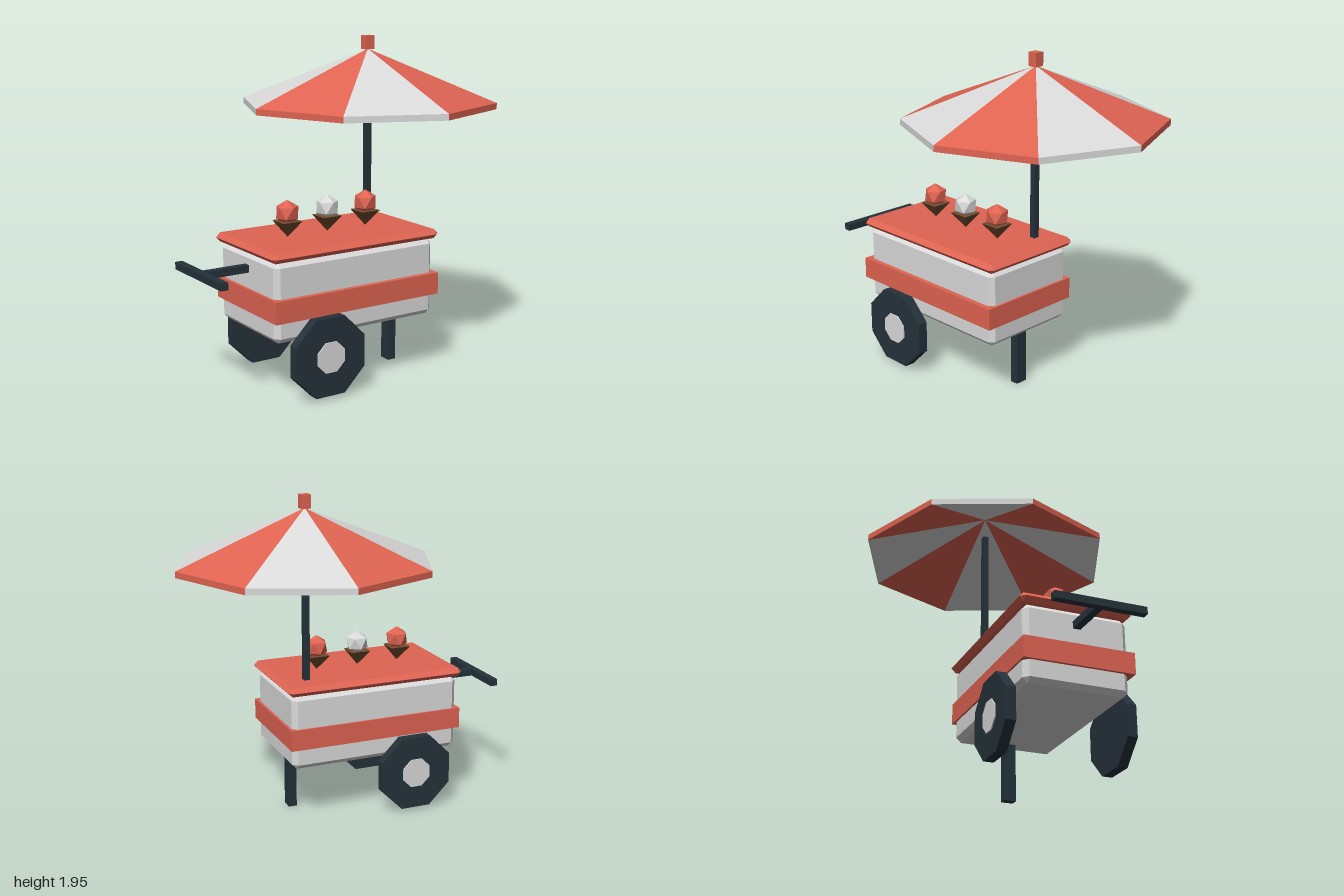
import * as THREE from 'three';
import { ConvexGeometry } from 'three/addons/geometries/ConvexGeometry.js';

const material = (name, color) => {
  const m = new THREE.MeshStandardMaterial({ color, flatShading: true });
  m.name = name;
  return m;
};

export function createModel() {
  const red = material('coral red', 0xe06452);
  const white = material('off white', 0xdadada);
  const dark = material('dark slate', 0x25323b);
  const brown = material('cone brown', 0x734d31);

  const cart = new THREE.Group();
  cart.name = 'snackCart';

  const add = (name, geometry, mat, x = 0, y = 0, z = 0, parent = cart) => {
    const mesh = new THREE.Mesh(geometry, mat);
    mesh.name = name;
    mesh.position.set(x, y, z);
    parent.add(mesh);
    return mesh;
  };

  // Box given by its limits along each axis
  const box = (name, mat, [x0, x1], [y0, y1], [z0, z1], parent) =>
    add(name, new THREE.BoxGeometry(x1 - x0, y1 - y0, z1 - z0), mat,
      (x0 + x1) / 2, (y0 + y1) / 2, (z0 + z1) / 2, parent);

  // Box with every edge chamfered by c
  const chamferBox = (w, h, d, c) => {
    const points = [];
    for (const sx of [-1, 1]) for (const sy of [-1, 1]) for (const sz of [-1, 1]) {
      for (let axis = 0; axis < 3; axis++) {
        const inset = [c, c, c];
        inset[axis] = 0;
        points.push(new THREE.Vector3(
          sx * (w / 2 - inset[0]), sy * (h / 2 - inset[1]), sz * (d / 2 - inset[2])));
      }
    }
    return new ConvexGeometry(points);
  };

  // Octagonal disc facing z, resting on a flat side
  const octagon = (apothem, depth) =>
    new THREE.CylinderGeometry(apothem / Math.cos(Math.PI / 8), apothem / Math.cos(Math.PI / 8), depth, 8)
      .rotateY(Math.PI / 8).rotateX(Math.PI / 2);

  const midX = -0.16, midZ = 0.172;

  // Cart body, counter and band
  add('body', chamferBox(1.065, 0.455, 0.615, 0.03), white, midX, 0.5725, midZ);
  add('counter', chamferBox(1.12, 0.054, 0.668, 0.0265), red, midX, 0.827, midZ);
  box('band', red, [-0.71, 0.387], [0.472, 0.598], [-0.147, 0.51]);

  // Wheels with hubs on their outer faces
  for (const side of [-1, 1]) {
    const wheel = new THREE.Group();
    wheel.name = side > 0 ? 'frontWheel' : 'backWheel';
    wheel.position.set(-0.39, 0.245, midZ + side * 0.352);
    add('tire', octagon(0.224, 0.06), dark, 0, 0, 0, wheel);
    add('hub', octagon(0.087, 0.02), white, 0, 0, side * 0.027, wheel);
    cart.add(wheel);
  }

  // Support leg and push handle
  box('leg', dark, [0.256, 0.307], [0, 0.36], [0.135, 0.209]);
  box('handleStem', dark, [-0.97, -0.68], [0.69, 0.732], [0.15, 0.194]);
  box('handleBar', dark, [-1, -0.956], [0.69, 0.732], [-0.096, 0.438]);

  // Ice cream cones: square cone and faceted scoop
  const coneGeometry = new THREE.ConeGeometry(0.062 * Math.SQRT2, 0.092, 4)
    .rotateY(Math.PI / 4).rotateX(Math.PI);
  const scoopGeometry = new THREE.IcosahedronGeometry(0.072, 0)
    .rotateX(-Math.atan((1 + Math.sqrt(5)) / 2));
  [-0.43, -0.163, 0.104].forEach((x, i) => {
    const treat = new THREE.Group();
    treat.name = 'iceCream' + (i + 1);
    treat.position.set(x, 0, midZ);
    add('cone', coneGeometry, brown, 0, 0.9, 0, treat);
    add('scoop', scoopGeometry, i === 1 ? white : red, 0, 0.994, 0, treat);
    cart.add(treat);
  });

  // Parasol: pole, eight thick panels and a finial
  const parasol = new THREE.Group();
  parasol.name = 'parasol';
  parasol.position.x = 0.238;
  cart.add(parasol);
  box('pole', dark, [-0.018, 0.018], [0.84, 1.7], [-0.018, 0.018], parasol);
  box('finial', red, [-0.029, 0.029], [1.865, 1.945], [-0.029, 0.029], parasol);

  const radius = 0.762, thickness = 0.036;
  const panelGeometry = (a0, a1) => {
    const apex = [0, 1.867, 0];
    const rim = a => [radius * Math.cos(a), 1.564, radius * Math.sin(a)];
    const lower = p => [p[0], p[1] - thickness, p[2]];
    const p = rim(a0), q = rim(a1);
    const triangles = [
      apex, q, p,
      lower(apex), lower(p), lower(q),
      p, q, lower(q),
      p, lower(q), lower(p),
    ];
    const geometry = new THREE.BufferGeometry();
    geometry.setAttribute('position', new THREE.Float32BufferAttribute(triangles.flat(), 3));
    geometry.computeVertexNormals();
    return geometry;
  };
  for (let i = 0; i < 8; i++) {
    add('canopyPanel' + (i + 1), panelGeometry(i * Math.PI / 4, (i + 1) * Math.PI / 4),
      i % 2 ? red : white, 0, 0, 0, parasol);
  }

  return cart;
}
